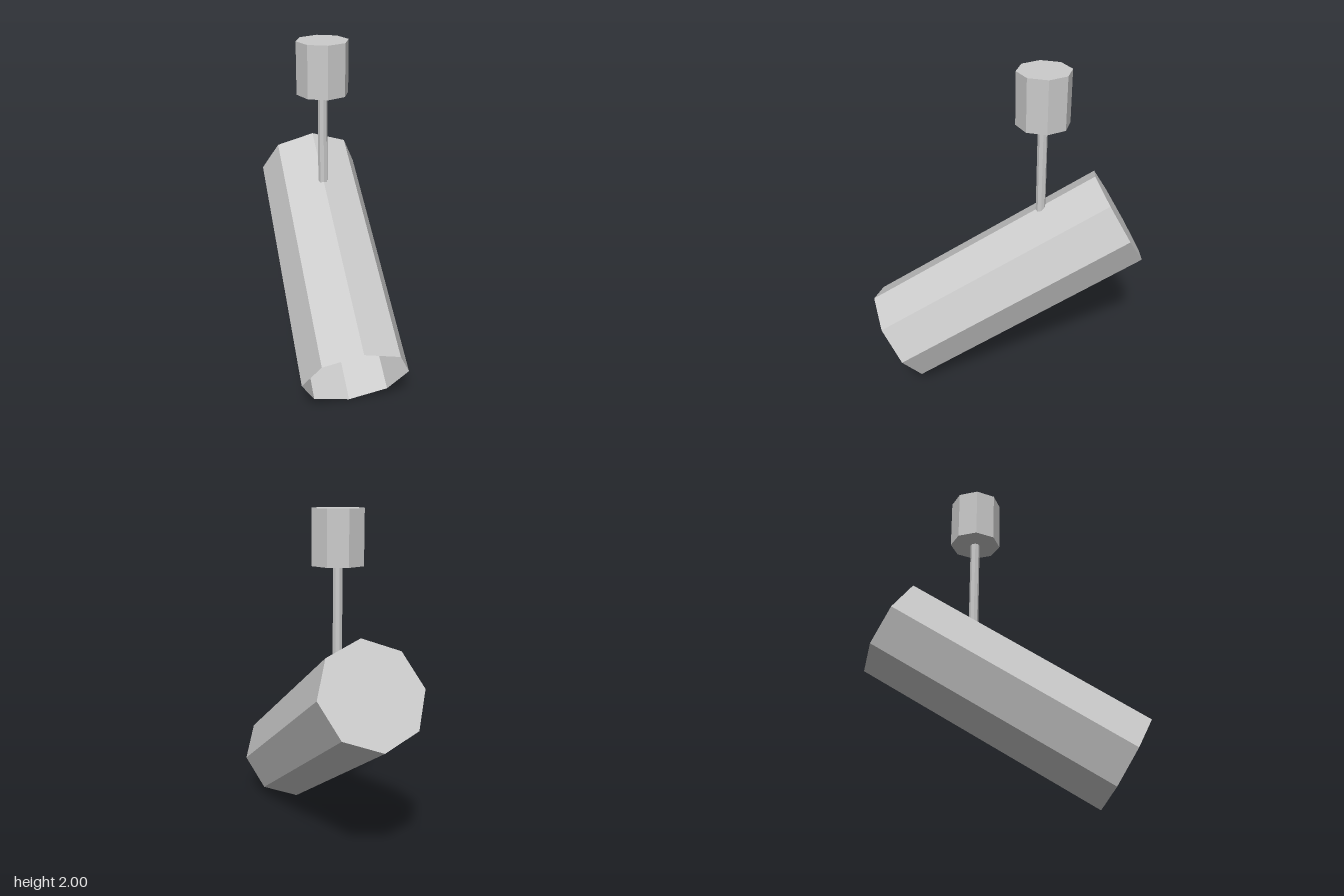
import * as THREE from 'three';

const SIDES = 8;

export function createModel() {
  const model = new THREE.Group();
  model.name = 'trackSpotlight';
  const solid = new THREE.MeshStandardMaterial({ color: 0xcccccc, flatShading: true });
  const thin = new THREE.MeshStandardMaterial({ color: 0xcccccc, flatShading: true, side: THREE.DoubleSide });

  const add = (parent, name, geometry, material, x, y, z) => {
    const mesh = new THREE.Mesh(geometry, material);
    mesh.name = name;
    mesh.position.set(x, y, z);
    parent.add(mesh);
    return mesh;
  };

  // Lamp head: a tube open at the front, closed at the back, tipped 30 degrees down
  const radius = 0.313, length = 1.574;
  const head = new THREE.Group();
  head.name = 'lampHead';
  head.position.set(0, 0.669, 0);
  head.rotation.x = -Math.PI / 3;
  add(head, 'shade', new THREE.CylinderGeometry(radius, radius, length, SIDES, 1, true), thin, 0, 0, 0);
  const back = add(head, 'backPlate', new THREE.CircleGeometry(radius, SIDES), thin, 0, length / 2, 0);
  back.rotation.x = -Math.PI / 2;
  model.add(head);

  // Stem, sunk slightly into the shade, and the ceiling mount above it
  const mountZ = -0.204, stemBottom = 1.11, mountBottom = 1.688, top = 2;
  const post = (name, r, y0, y1) =>
    add(model, name, new THREE.CylinderGeometry(r, r, y1 - y0, SIDES), solid, 0, (y0 + y1) / 2, mountZ);
  post('stem', 0.029, stemBottom, mountBottom);
  post('ceilingMount', 0.156, mountBottom, top);

  return model;
}
